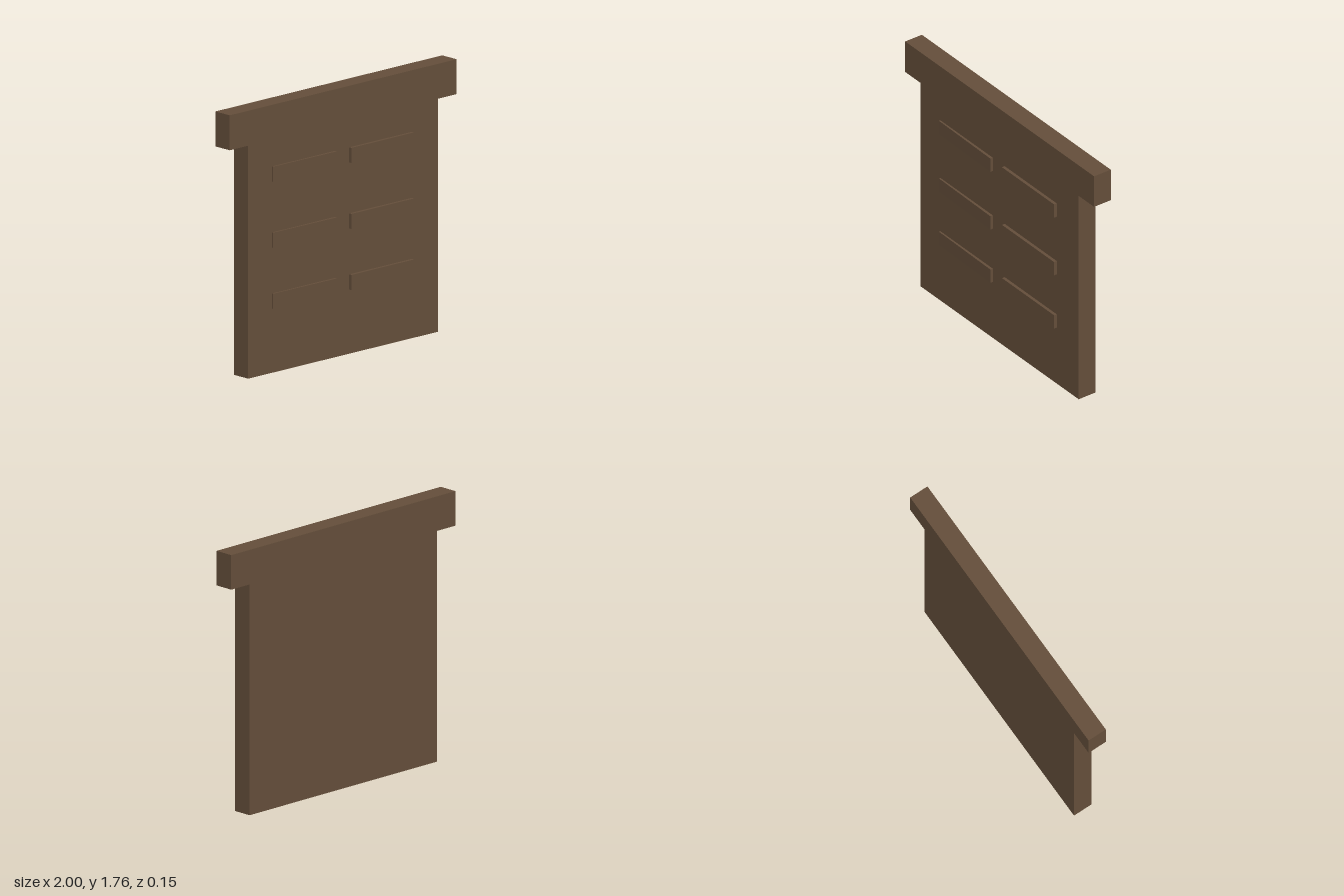
import * as THREE from 'three';

export function createModel() {
  const model = new THREE.Group();
  const wood = new THREE.MeshStandardMaterial({ color: 0x644e3a });
  wood.name = 'brown wood';

  // T-shaped panel with a wider top rail
  const back = -0.077, front = 0.056;
  const half = 0.837, railHalf = 1, railY = 1.535, top = 1.765;
  const outline = new THREE.Shape([
    [-half, 0], [half, 0], [half, railY], [railHalf, railY],
    [railHalf, top], [-railHalf, top], [-railHalf, railY], [-half, railY],
  ].map(([x, y]) => new THREE.Vector2(x, y)));
  const panelGeometry = new THREE.ExtrudeGeometry(outline, { depth: front - back, bevelEnabled: false });
  panelGeometry.translate(0, 0, back);
  const panel = new THREE.Mesh(panelGeometry, wood);
  panel.name = 'panel';
  model.add(panel);

  // Two columns of raised slats; the column at -x is turned very slightly
  const columns = [
    { name: 'rightSlat', x: -0.35, width: 0.556, face: 0.071, turn: -0.014 },
    { name: 'leftSlat', x: 0.329, width: 0.552, face: 0.077, turn: 0 },
  ];
  const depth = 0.04;
  for (const { name, x, width, face, turn } of columns) {
    for (const y of [0.473, 0.875, 1.31]) {
      const slat = new THREE.Mesh(new THREE.BoxGeometry(width, 0.1, depth), wood);
      slat.name = name;
      slat.position.set(x, y, face - depth / 2);
      slat.rotation.y = turn;
      model.add(slat);
    }
  }
  return model;
}
